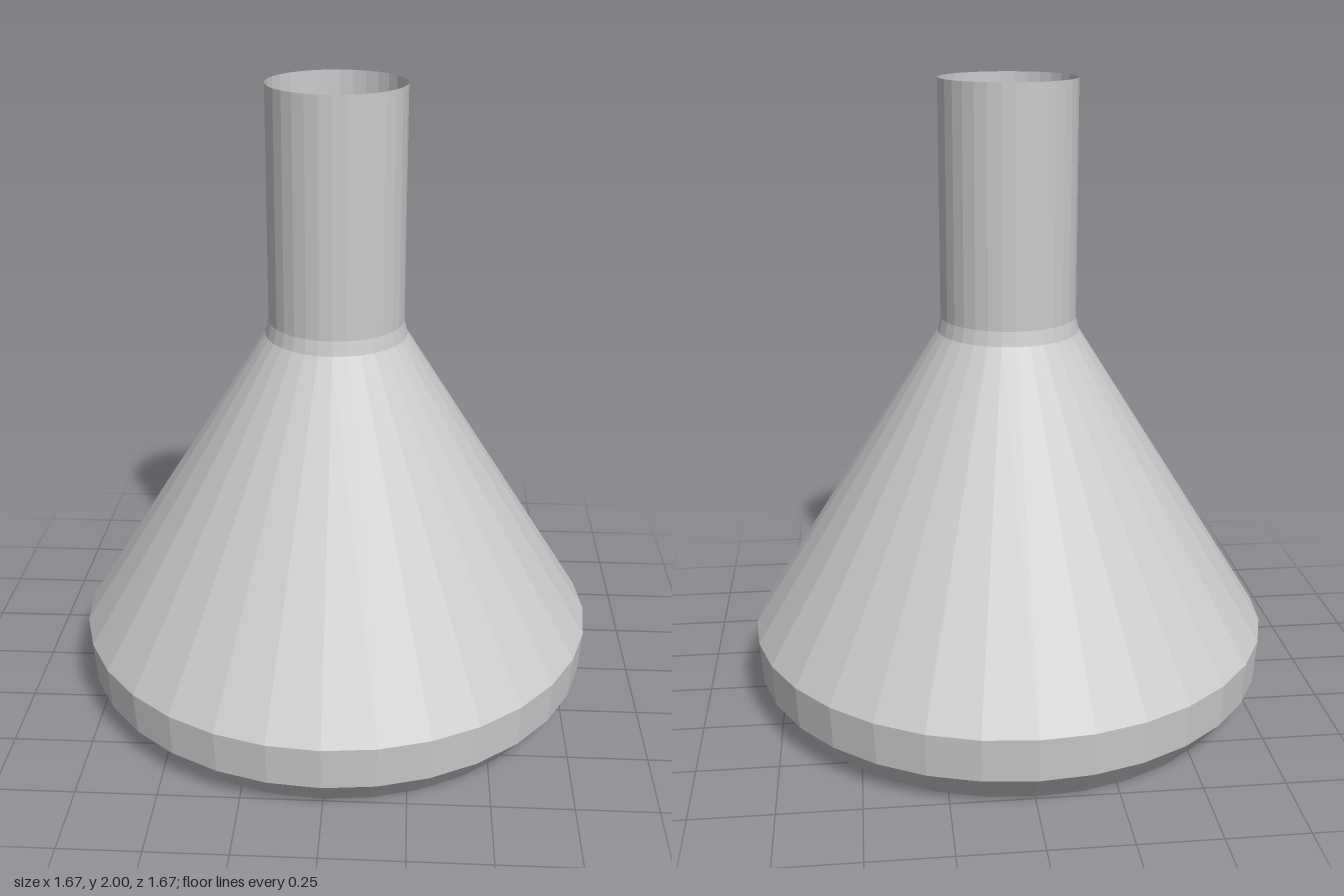
import * as THREE from 'three';

const SIDES = 32;

export function createModel() {
  const model = new THREE.Group();
  model.name = 'flask';
  const material = new THREE.MeshStandardMaterial({
    color: 0xcccccc, flatShading: true, side: THREE.DoubleSide,
  });

  // Each part is a thin faceted shell turned from a bottom-to-top [radius, height] profile
  const turn = (name, profile) => {
    const points = profile.map(([r, y]) => new THREE.Vector2(r, y));
    const mesh = new THREE.Mesh(new THREE.LatheGeometry(points, SIDES), material);
    mesh.name = name;
    model.add(mesh);
  };

  // Flat floor, also seen from inside through the open neck
  const floor = new THREE.Mesh(new THREE.CircleGeometry(0.74, SIDES), material);
  floor.name = 'floor';
  floor.rotation.x = Math.PI / 2;
  model.add(floor);

  // Bevelled foot and the nearly upright band above it
  turn('base', [[0.74, 0], [0.825, 0.105], [0.835, 0.243]]);
  // Conical body with a short transition into the neck
  turn('body', [[0.835, 0.243], [0.224, 1.22], [0.214, 1.265]]);
  // Straight neck, open at the top
  turn('neck', [[0.214, 1.265], [0.214, 2]]);

  return model;
}
